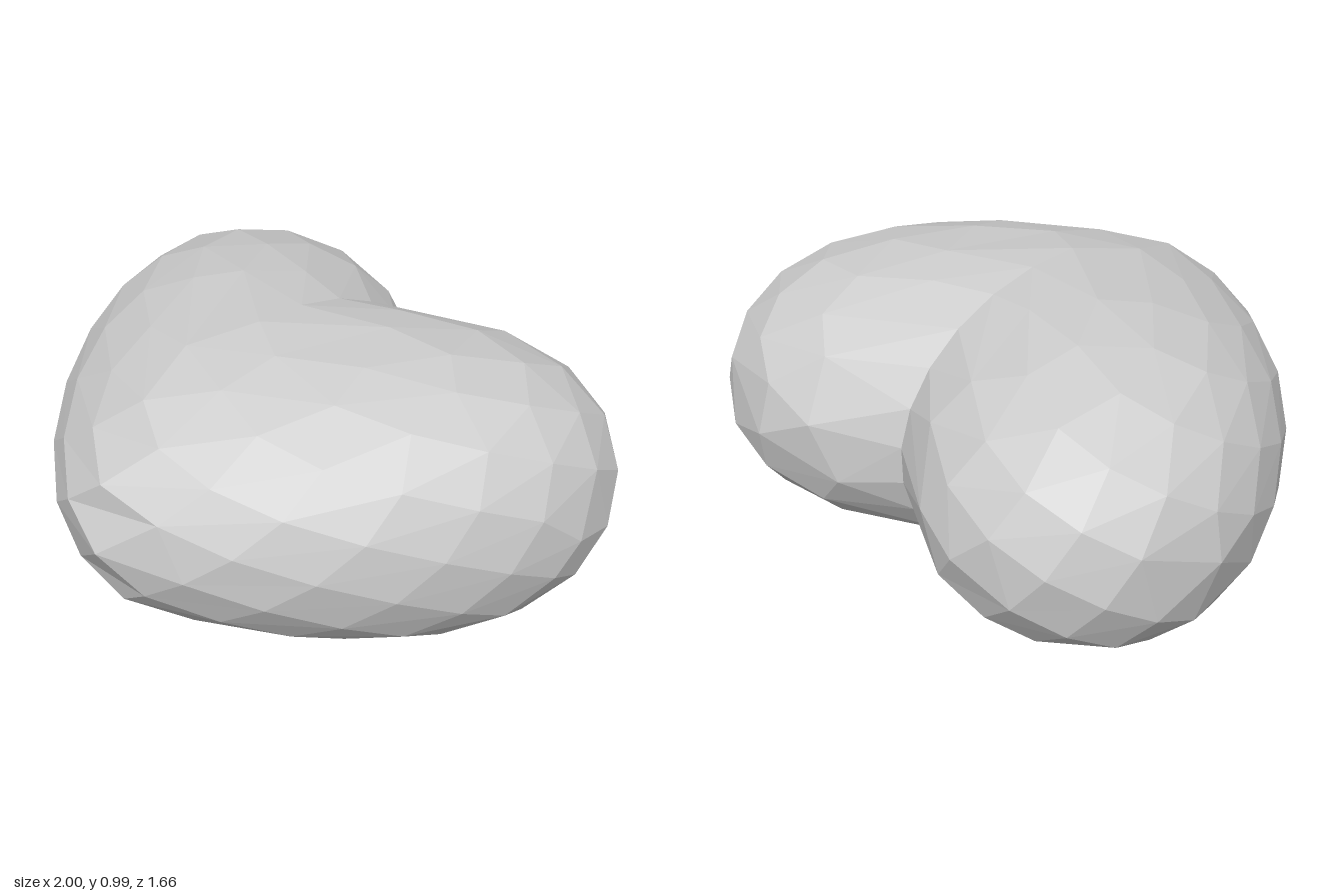
import * as THREE from 'three';
import { ConvexGeometry } from 'three/addons/geometries/ConvexGeometry.js';

// Evenly scattered points on a unit sphere, with a row along the rear cleft
function spherePoints(count, gap) {
  // Widest points, lobe backs and front tip
  const points = [[1, 0, 0], [-1, 0, 0], [0.46, 0, -0.888], [-0.46, 0, -0.888], [0.07, 0, 1]]
    .map((p) => new THREE.Vector3(...p).normalize());
  // Rear meridian from pole to pole, so the cleft stays a sharp edge
  for (let i = 0; i <= 13; i++) {
    const a = (i * Math.PI) / 13;
    points.push(new THREE.Vector3(0, Math.cos(a), -Math.sin(a)));
  }
  // Spiral filling the rest
  const fixed = points.slice();
  for (let i = 0; i < count; i++) {
    const y = 1 - (2 * (i + 0.5)) / count;
    const r = Math.sqrt(1 - y * y);
    const a = i * Math.PI * (3 - Math.sqrt(5));
    const p = new THREE.Vector3(r * Math.cos(a), y, r * Math.sin(a));
    if (fixed.every((q) => q.distanceTo(p) > gap)) points.push(p);
  }
  return points;
}

// Puffy low-poly heart lying flat, its tip to the front and its cleft at the back
export function createModel() {
  const group = new THREE.Group();
  const geometry = new ConvexGeometry(spherePoints(190, 0.19));
  const pos = geometry.attributes.position;

  for (let i = 0; i < pos.count; i++) {
    const x = pos.getX(i), y = pos.getY(i), z = pos.getZ(i);
    const side = Math.abs(x);
    // Pull the sides back: steep beside the cleft, gentle beside the tip
    const pull = (0.54 - 0.265 * z) * side + (0.23 * z - 0.13) * side * side;
    // Fuller thickness towards the two lobes
    const height = 0.495 * (1 + y * (1 + 0.37 * x * x - 0.06 * z));
    pos.setXYZ(i, x, height, 0.105 + 0.74 * z - pull);
  }
  geometry.computeVertexNormals();

  const heart = new THREE.Mesh(
    geometry,
    new THREE.MeshStandardMaterial({ color: 0xcccccc, flatShading: true })
  );
  heart.name = 'heart';
  group.add(heart);
  return group;
}
